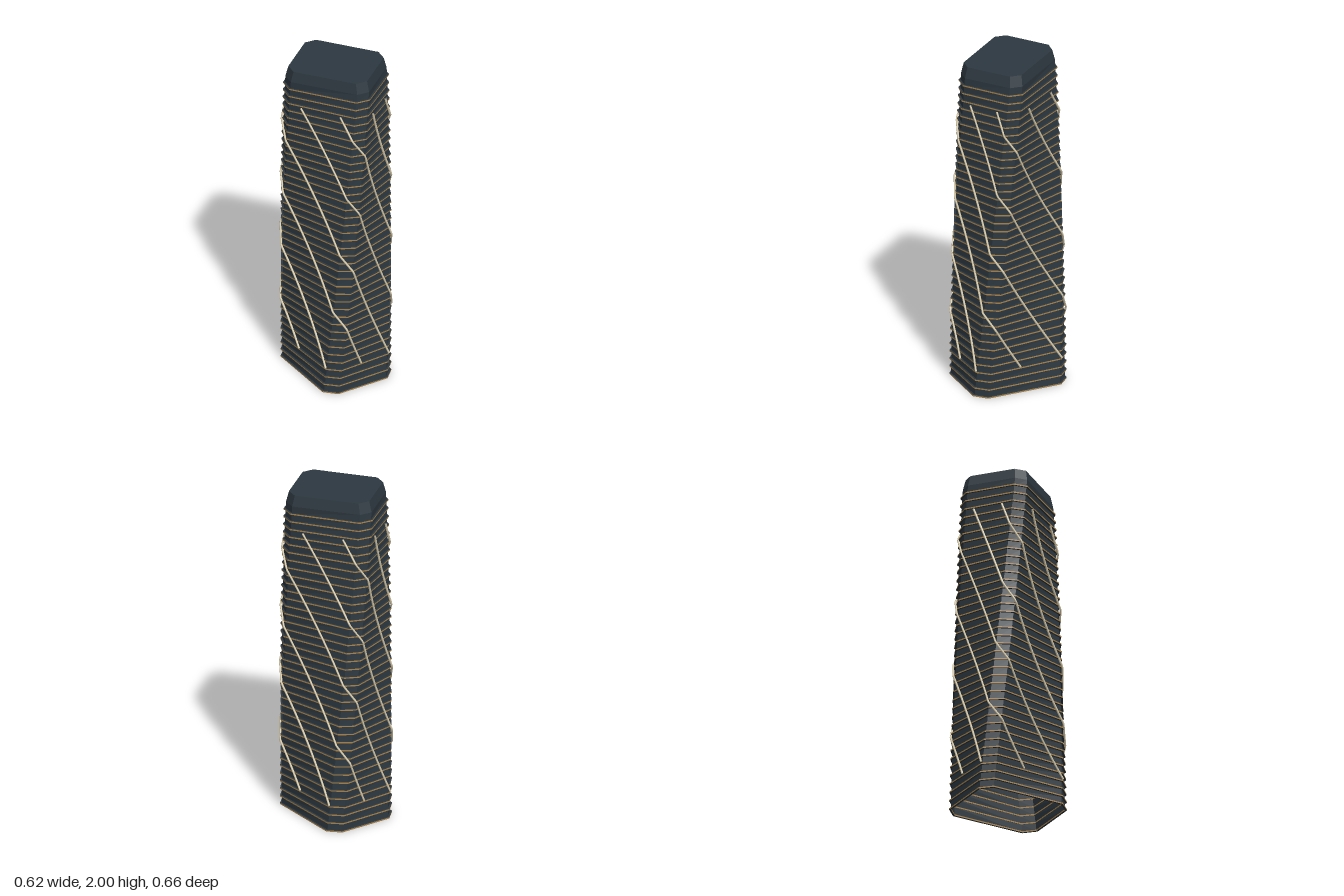
import * as THREE from 'three';

const FLOORS = 39, BODY_H = 1.936, STEP = BODY_H / FLOORS;

// Chamfered rectangle at height y, twisted and tapered; returns [x, z] corners, counterclockwise from above
function section(y, outset = 0, shrink = 1) {
  const t = Math.min(y / BODY_H, 1);
  const angle = THREE.MathUtils.degToRad(72 - 38 * t);
  const s = (1 - 0.1 * t) * shrink;
  const w = 0.28 * s + outset, d = 0.217 * s + outset, c = 0.058 * s + outset * 0.58;
  const cos = Math.cos(angle), sin = Math.sin(angle);
  return [
    [w - c, d], [w, d - c], [w, c - d], [w - c, -d],
    [c - w, -d], [-w, c - d], [-w, d - c], [c - w, d],
  ].map(([u, v]) => [u * cos - v * sin, u * sin + v * cos]);
}

// Flat-faced skin through stacked sections, with an optional flat top
function loft(levels, capped) {
  const pos = [];
  const rings = levels.map(([y, shrink]) => section(y, 0, shrink).map(([x, z]) => [x, y, z]));
  for (let r = 0; r < rings.length - 1; r++) {
    for (let i = 0; i < 8; i++) {
      const j = (i + 1) % 8, lo = rings[r], hi = rings[r + 1];
      pos.push(...lo[i], ...lo[j], ...hi[j], ...lo[i], ...hi[j], ...hi[i]);
    }
  }
  if (capped) {
    const top = rings[rings.length - 1];
    for (let i = 0; i < 8; i++) pos.push(0, top[0][1], 0, ...top[i], ...top[(i + 1) % 8]);
  }
  const g = new THREE.BufferGeometry();
  g.setAttribute('position', new THREE.Float32BufferAttribute(pos, 3));
  g.computeVertexNormals();
  return g;
}

// Thin ring that wraps one floor edge
function floorRing(y) {
  const toPoints = (pts) => pts.map(([x, z]) => new THREE.Vector2(x, -z));
  const shape = new THREE.Shape(toPoints(section(y, 0.01)));
  shape.holes.push(new THREE.Path(toPoints(section(y, -0.001))));
  const g = new THREE.ExtrudeGeometry(shape, { depth: 0.008, bevelEnabled: false });
  g.rotateX(-Math.PI / 2);
  g.translate(0, y, 0);
  return g;
}

// Path that winds down around the facade, crossing each side in a straight run
class BraceCurve extends THREE.Curve {
  constructor(phase) {
    super();
    this.phase = phase;
  }
  getPoint(t, target = new THREE.Vector3()) {
    const y = 1.78 - 1.62 * t;
    const turn = (1.64 - y) / 0.74 + this.phase + 4;
    const quarter = Math.floor(turn), f = turn - quarter, chamfer = 0.145;
    const onChamfer = f < chamfer;
    const k = onChamfer ? f / chamfer : (f - chamfer) / (1 - chamfer);
    const i = (quarter * 2 + (onChamfer ? 0 : 1)) % 8;
    const pts = section(y, 0.012);
    const a = pts[i], b = pts[(i + 1) % 8];
    return target.set(a[0] + (b[0] - a[0]) * k, y, a[1] + (b[1] - a[1]) * k);
  }
}

export function createModel() {
  const slate = new THREE.MeshStandardMaterial({ color: 0x2d3840, side: THREE.DoubleSide });
  slate.name = 'slate';
  const bronze = new THREE.MeshStandardMaterial({ color: 0xa9824a });
  bronze.name = 'bronze';
  const cream = new THREE.MeshStandardMaterial({ color: 0xdfd2b2 });
  cream.name = 'cream';

  const model = new THREE.Group();
  model.name = 'twistedTower';
  const add = (parent, name, geometry, material) => {
    const mesh = new THREE.Mesh(geometry, material);
    mesh.name = name;
    parent.add(mesh);
  };

  // Twisted shaft, open underneath
  const levels = Array.from({ length: FLOORS + 1 }, (_, i) => [i * STEP, 1]);
  add(model, 'shaft', loft(levels, false), slate);

  // Sloped crown and roof
  add(model, 'crown', loft([[BODY_H, 1], [2, 0.94]], true), slate);

  // Floor rings: dark ledges with bronze edges
  const rings = new THREE.Group();
  rings.name = 'floorRings';
  for (let i = 0; i < FLOORS; i++) add(rings, 'floorRing', floorRing(i * STEP), [slate, bronze]);
  model.add(rings);

  // Eight diagonal braces
  const braces = new THREE.Group();
  braces.name = 'diagonalBraces';
  for (let k = 0; k < 8; k++) {
    add(braces, 'diagonalBrace', new THREE.TubeGeometry(new BraceCurve(k / 2), 96, 0.006, 6), cream);
  }
  model.add(braces);

  return model;
}
